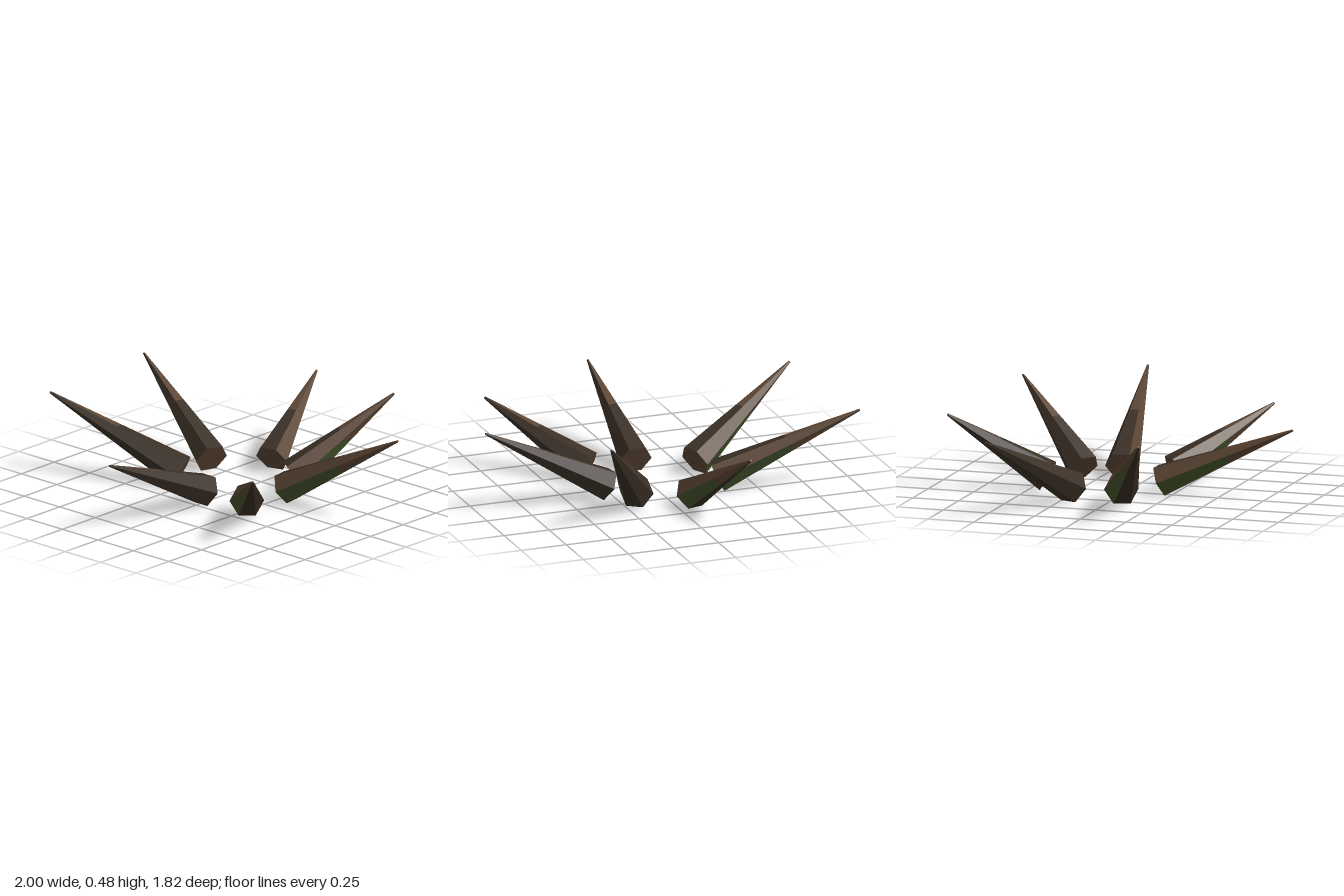
import * as THREE from 'three';

const BASE_R = 0.09, TIP_R = 0.006, SIDES = 6;

// base centre and tip of every spike in the ring
const SPIKES = [
  [[0.01, 0.078, 0.19], [0, 0.39, 0.91]],
  [[0.285, 0.078, 0.17], [0.70, 0.38, 0.575]],
  [[0.29, 0.078, -0.12], [0.995, 0.472, -0.215]],
  [[0.187, 0.078, -0.297], [0.493, 0.485, -0.73]],
  [[-0.07, 0.078, -0.405], [-0.215, 0.40, -0.907]],
  [[-0.30, 0.078, -0.195], [-0.997, 0.43, -0.435]],
  [[-0.273, 0.078, 0.064], [-0.915, 0.443, 0.373]],
];

// material index of each facet as [outer half, inner half]
const BROWN = 0, DARK = 1, MOSS = 2;
const FACETS = [
  [BROWN, BROWN], // upper, clockwise side
  [BROWN, MOSS],  // lower, clockwise side
  [DARK, DARK],   // underside
  [DARK, DARK],   // lower, other side
  [DARK, DARK],   // upper, other side
  [BROWN, DARK],  // top
];

// six-sided tapering spike standing along +y, split into two bands
function spikeGeometry(length) {
  const g = new THREE.CylinderGeometry(TIP_R, BASE_R, length, SIDES, 2, false, Math.PI / 6);
  g.translate(0, length / 2, 0);
  g.clearGroups();
  let start = 0;
  for (const facet of FACETS) {
    for (const m of facet) {
      g.addGroup(start, 6, m);
      start += 6;
    }
  }
  g.addGroup(start, SIDES * 6, BROWN); // end caps
  const flat = g.toNonIndexed();
  flat.computeVertexNormals();
  return flat;
}

export function createModel() {
  const make = (name, color) => {
    const m = new THREE.MeshStandardMaterial({ color });
    m.name = name;
    return m;
  };
  const materials = [make('brown', 0x5c4635), make('darkBrown', 0x3b3026), make('mossGreen', 0x45542c)];

  const model = new THREE.Group();
  model.name = 'spikeRing';
  SPIKES.forEach(([b, t], i) => {
    const base = new THREE.Vector3(...b), tip = new THREE.Vector3(...t);
    const dir = tip.clone().sub(base);
    const length = dir.length();
    dir.normalize();
    // keep one flat facet on top: local x is sideways, local z is up
    const side = dir.clone().cross(new THREE.Vector3(0, 1, 0)).normalize();
    const up = side.clone().cross(dir);
    const spike = new THREE.Mesh(spikeGeometry(length), materials);
    spike.name = `spike${i + 1}`;
    spike.quaternion.setFromRotationMatrix(new THREE.Matrix4().makeBasis(side, dir, up));
    spike.position.copy(base);
    model.add(spike);
  });
  return model;
}
